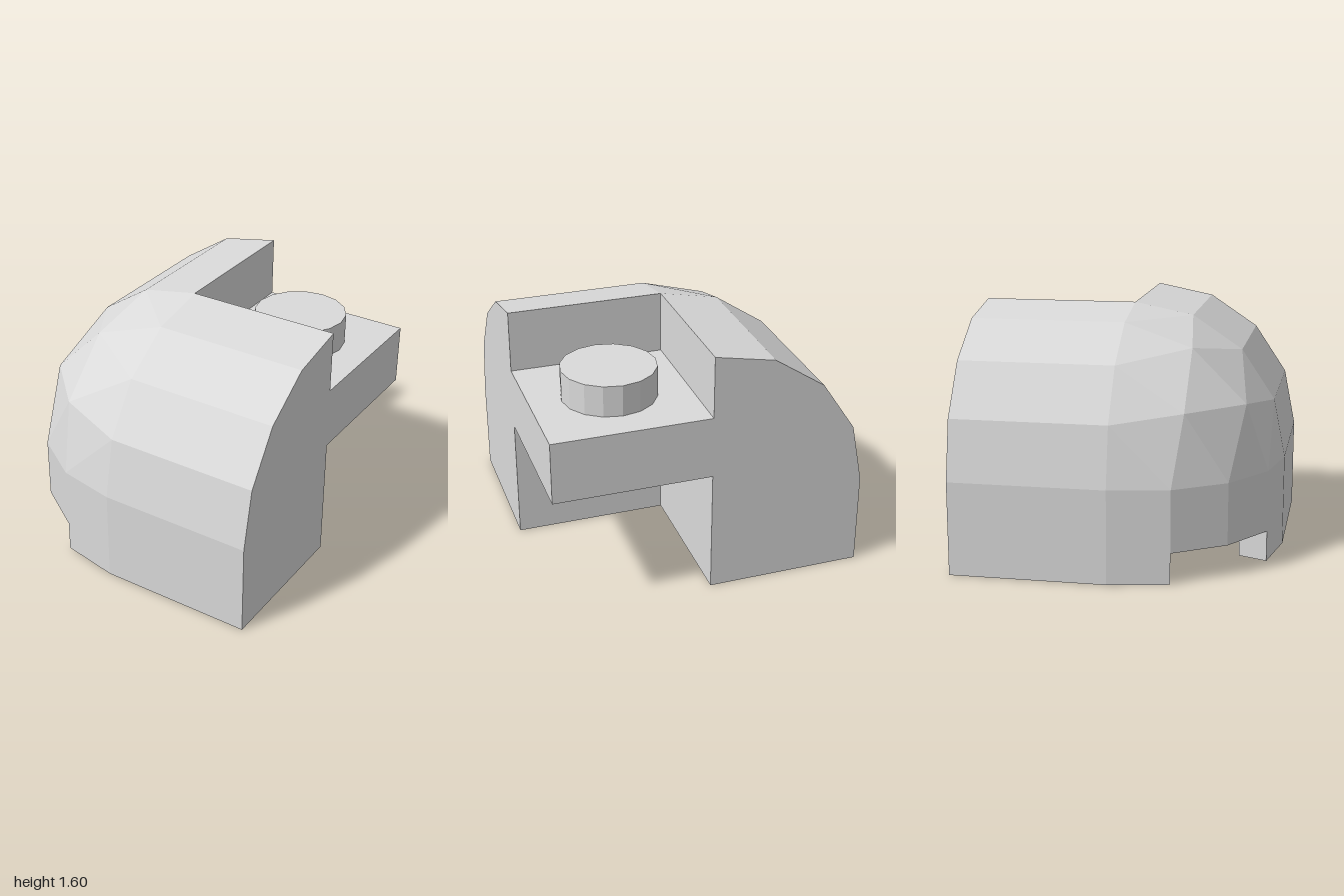
import * as THREE from 'three';

const grey = new THREE.MeshStandardMaterial({ color: 0xdadada });
grey.name = 'light grey';

// Points are [x, z]; angle 0 points to the front (+z), 90 to the right (-x)
const polar = (r, deg) => {
  const a = THREE.MathUtils.degToRad(deg);
  return [-r * Math.sin(a), r * Math.cos(a)];
};
const arc = (r, from, to, steps) =>
  Array.from({ length: steps + 1 }, (_, i) => polar(r, from + ((to - from) * i) / steps));
const mirror = (pts) => pts.map(([x, z]) => [-z, -x]);

// Plan points as vectors, turned to run clockwise or anticlockwise
function toVectors(pts, clockwise) {
  const v = pts.map(([x, z]) => new THREE.Vector2(x, -z));
  return THREE.ShapeUtils.isClockWise(v) === clockwise ? v : v.reverse();
}

// Upright slab from a floor plan, between two heights
function slab(plan, holes, y0, y1) {
  const shape = new THREE.Shape(toVectors(plan, false));
  shape.holes = holes.map((h) => new THREE.Path(toVectors(h, true)));
  const g = new THREE.ExtrudeGeometry(shape, { depth: y1 - y0, bevelEnabled: false });
  return g.rotateX(-Math.PI / 2).translate(0, y0, 0);
}

// Straight arched wing, one unit long, from a quarter-round section
function wing() {
  const section = new THREE.Shape();
  section.moveTo(0, 0.6);
  for (let i = 0; i <= 4; i++) {
    const a = (i * Math.PI) / 8;
    section.lineTo(Math.cos(a), 0.6 + Math.sin(a));
  }
  return new THREE.ExtrudeGeometry(section, { depth: 1, bevelEnabled: false });
}

// Faceted eighth of a sphere with a flat underside
function cornerDome() {
  const point = (i, j, k) => {
    const inside = i * j * k > 0;
    const f = (n) => (inside ? [0, 0.4395, 0.783][n] : Math.sin((n * Math.PI) / 8));
    return new THREE.Vector3(-f(i), f(j), f(k));
  };
  const pos = [];
  const face = (a, b, c, out) => {
    const n = b.clone().sub(a).cross(c.clone().sub(a));
    const order = n.dot(out) > 0 ? [a, b, c] : [a, c, b];
    order.forEach((p) => pos.push(p.x, p.y + 0.6, p.z));
  };
  const outward = new THREE.Vector3(-1, 1, 1);
  const down = new THREE.Vector3(0, -1, 0);
  for (let i = 0; i < 4; i++) {
    for (let j = 0; i + j < 4; j++) {
      const k = 4 - i - j;
      const b = point(i + 1, j, k - 1);
      const c = point(i, j + 1, k - 1);
      face(point(i, j, k), b, c, outward);
      if (k > 1) face(b, c, point(i + 1, j + 1, k - 2), outward);
    }
    face(new THREE.Vector3(), point(i, 0, 4 - i), point(i + 1, 0, 3 - i), down);
  }
  const g = new THREE.BufferGeometry();
  g.setAttribute('position', new THREE.Float32BufferAttribute(pos, 3));
  g.computeVertexNormals();
  return g;
}

export function createModel() {
  const model = new THREE.Group();
  model.name = 'roundedCornerBlock';
  const add = (name, geometry) => {
    const mesh = new THREE.Mesh(geometry, grey);
    mesh.name = name;
    model.add(mesh);
  };

  // Hollows in the underside: two square pockets, a slot behind the tube, a corner pocket
  const sidePocket = [[0.8, 0.2], [0.8, 0.8], [0.2, 0.8], ...arc(0.4, -30, -60, 2)];
  const tubeSlot = [...arc(0.3, -48.2, 138.2, 9), ...arc(0.2, 90, 0, 4)];
  const tubeFront = arc(0.4, -14.5, 104.5, 6);
  const cornerPocket = [[0.1, 0.8], ...arc(0.8, 0, 90, 4), [-0.8, -0.1], ...[...tubeFront].reverse()];
  const holes = [sidePocket, mirror(sidePocket), tubeSlot];

  // Foot: the lowest layer, open at the rounded corner
  const footPlan = [
    [0, 0], [1, 0], [1, 1], ...arc(1, 0, 22.5, 1),
    ...arc(0.8, 22.5, 0, 1), [0.1, 0.8], ...tubeFront, [-0.8, -0.1], ...arc(0.8, 90, 67.5, 1),
    ...arc(1, 67.5, 90, 1), [-1, -1], [0, -1],
  ];
  add('notchedFoot', slab(footPlan, holes, 0, 0.2));

  // Upright walls with the closed rounded corner
  const wallPlan = [[0, 0], [1, 0], [1, 1], ...arc(1, 0, 90, 4), [-1, -1], [0, -1]];
  add('lowerWalls', slab(wallPlan, [...holes, cornerPocket], 0.2, 0.6));

  // Arched top: two wings meeting at the dome
  add('leftWing', wing().translate(0, 0, -1).rotateY(-Math.PI / 2));
  add('rightWing', wing().rotateY(Math.PI));
  add('cornerDome', cornerDome());

  // Shelf in the inner corner, hollow below
  add('shelf', new THREE.BoxGeometry(1, 0.2, 1).translate(0.5, 1.1, -0.5));
  const rim = [[1, 0], [1, -1], [0, -1], [0, -0.8], [0.8, -0.8], [0.8, 0]];
  add('shelfRim', slab(rim, [], 0.8, 1));
  const quarterTube = [...arc(0.4, 180, 270, 4), ...arc(0.3, 270, 180, 4)];
  add('shelfTube', slab(quarterTube, [], 0.8, 1));

  // Round peg on the shelf
  const peg = new THREE.CylinderGeometry(0.3, 0.3, 0.2, 16).toNonIndexed();
  peg.computeVertexNormals();
  add('peg', peg.translate(0.5, 1.3, -0.5));

  return model;
}
